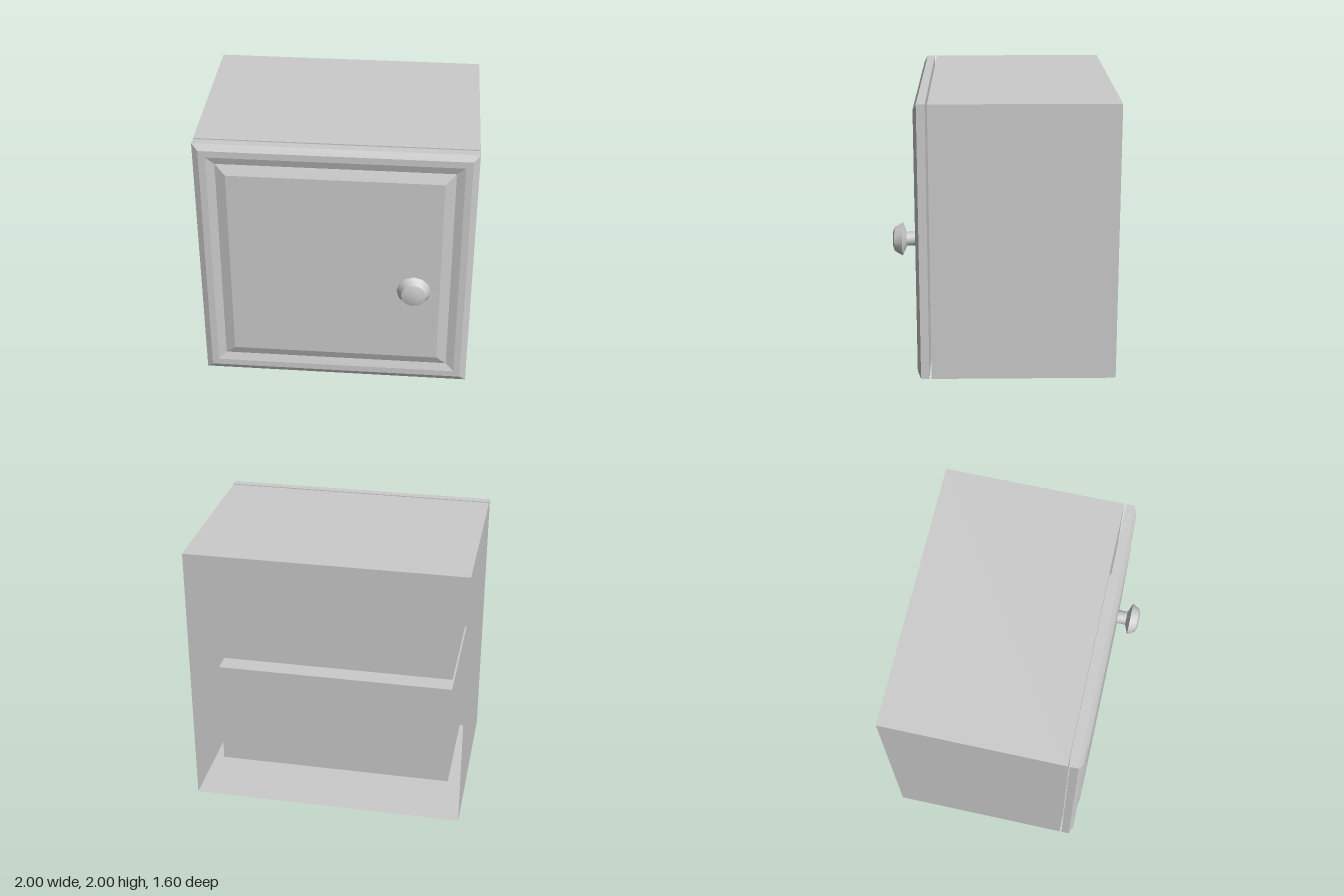
import * as THREE from 'three';
import { toCreasedNormals } from 'three/addons/utils/BufferGeometryUtils.js';

const solid = new THREE.MeshStandardMaterial({ color: 0xcccccc });
const flat = new THREE.MeshStandardMaterial({ color: 0xcccccc, flatShading: true });
const thin = new THREE.MeshStandardMaterial({ color: 0xcccccc, side: THREE.DoubleSide });

const BACK = -0.8, FRONT = 0.52;      // cabinet depth range
const INNER_BACK = -0.48;             // back of the compartments
const INNER_HALF = 0.88;              // half width of the compartments
const COMPARTMENTS = [['lowerCompartment', 0.12, 0.93], ['upperCompartment', 1.015, 1.88]];

// Box without some of its sides (0 +x, 1 -x, 2 +y, 3 -y, 4 +z, 5 -z)
function openBox(x, y0, y1, z0, z1, dropped) {
  const g = new THREE.BoxGeometry(2 * x, y1 - y0, z1 - z0);
  const index = Array.from(g.index.array);
  g.setIndex(index.filter((_, i) => !dropped.includes(Math.floor(i / 6))));
  g.clearGroups();
  g.translate(0, (y0 + y1) / 2, (z0 + z1) / 2);
  return g;
}

// Turned profile of [radius, z] points around the z axis
function turned(profile, sides) {
  const points = profile.map(([r, z]) => new THREE.Vector2(r, z));
  return new THREE.LatheGeometry(points, sides);
}

function rectangle(target, x, y0, y1) {
  target.moveTo(-x, y0).lineTo(x, y0).lineTo(x, y1).lineTo(-x, y1).closePath();
  return target;
}

export function createModel() {
  const model = new THREE.Group();
  model.name = 'cabinet';
  const add = (name, geometry, material) => {
    const mesh = new THREE.Mesh(geometry, material);
    mesh.name = name;
    model.add(mesh);
    return mesh;
  };

  // Outer shell, open at the back
  add('outerShell', openBox(1, 0, 2, BACK, FRONT, [4, 5]), thin);

  // Front frame with an opening for each compartment
  const frame = rectangle(new THREE.Shape(), 1, 0, 2);
  for (const [, y0, y1] of COMPARTMENTS) {
    frame.holes.push(rectangle(new THREE.Path(), INNER_HALF, y0, y1));
  }
  add('frontFrame', new THREE.ShapeGeometry(frame).translate(0, 0, FRONT), thin);

  // Two compartments, open to the front; the gap between them is the shelf
  for (const [name, y0, y1] of COMPARTMENTS) {
    add(name, openBox(INNER_HALF, y0, y1, INNER_BACK, FRONT, [4]), thin);
  }

  // Door: mitred square rings of [half size, z], with a groove and raised panel
  const rings = [
    [0, 0.535], [1, 0.535], [1, 0.595], [0.955, 0.62],
    [0.905, 0.62], [0.845, 0.6], [0.77, 0.63], [0, 0.63],
  ].map(([half, z]) => [half * Math.SQRT2, z]);
  const door = turned(rings, 4).rotateY(Math.PI / 4).rotateX(Math.PI / 2);
  add('door', door.toNonIndexed(), flat).position.y = 1;

  // Twelve-sided knob on its stem
  const knob = turned([
    [0.052, 0.625], [0.052, 0.7], [0.123, 0.73],
    [0.09, 0.787], [0.05, 0.8], [0, 0.8],
  ], 12).rotateX(Math.PI / 2);
  add('knob', toCreasedNormals(knob, 0.6), solid).position.set(0.58, 0.92, 0);

  return model;
}
